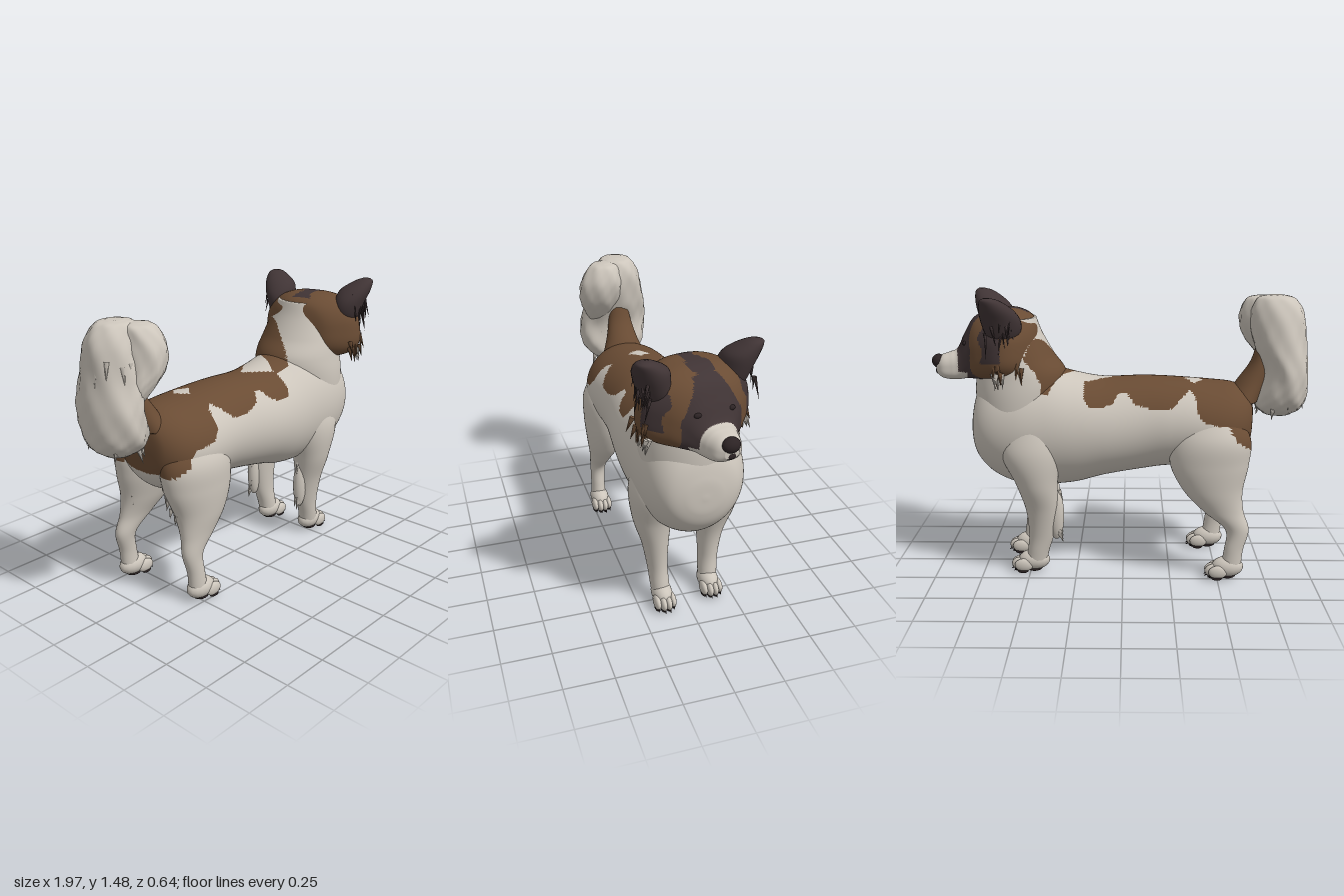
import * as THREE from 'three';

const paint = (name, color) => {
  const m = new THREE.MeshStandardMaterial({ color });
  m.name = name;
  return m;
};
const white = paint('cream fur', 0xcdc6bc);
const brown = paint('brown fur', 0x6a4c34);
const dark = paint('dark fur', 0x403435);
const black = paint('nose and pads', 0x2c2324);
const coats = [white, brown, dark];
const WHITE = 0, BROWN = 1, DARK = 2;

let seed = 7;
const rand = () => (seed = (seed * 16807) % 2147483647) / 2147483647;
const spread = (a, b) => a + (b - a) * rand();

// Skin of rounded sections [x, y, z, a, b]: vertical sections along x,
// or horizontal sections running downwards. b is always the half width in z.
// round below 1 squares the sections, pear widens their lower half.
function loft(name, stations, { along = 'x', steps = 40, sides = 32, rule = () => WHITE, shag = 0, round = 1, pear = 0 } = {}) {
  const path = new THREE.CatmullRomCurve3(stations.map(s => new THREE.Vector3(s[0], s[1], s[2])), false, 'catmullrom');
  const size = new THREE.CatmullRomCurve3(stations.map(s => new THREE.Vector3(s[3], s[4], 0)), false, 'catmullrom');
  const up = along === 'x' ? new THREE.Vector3(0, 1, 0) : new THREE.Vector3(1, 0, 0);
  const swell = v => Math.sign(v) * Math.abs(v) ** round;
  const pos = [], lists = [[], [], []];
  for (let i = -1; i <= steps + 1; i++) {
    const t = Math.min(Math.max(i / steps, 0), 1);
    const c = path.getPoint(t), r = size.getPoint(t);
    const cap = i < 0 || i > steps ? 0 : 1;
    for (let j = 0; j < sides; j++) {
      const q = j / sides * Math.PI * 2;
      const k = cap * (1 + shag * (Math.sin(q * 7 + i * 0.35) + 0.7 * Math.sin(q * 12 - i * 0.8)));
      const a = Math.max(r.x, 0.003) * k * swell(Math.cos(q));
      const b = Math.max(r.y, 0.003) * k * swell(Math.sin(q)) * (1 - pear * Math.cos(q));
      pos.push(c.x + up.x * a, c.y + up.y * a, c.z + b);
    }
  }
  const mid = (k, tri) => tri.reduce((s, v) => s + pos[v * 3 + k], 0) / 3;
  for (let i = 0; i < steps + 2; i++) {
    for (let j = 0; j < sides; j++) {
      const n = (j + 1) % sides, p = i * sides, o = p + sides;
      for (const tri of [[p + j, p + n, o + j], [p + n, o + n, o + j]]) {
        lists[rule(mid(0, tri), mid(1, tri), mid(2, tri))].push(...tri);
      }
    }
  }
  const g = new THREE.BufferGeometry();
  g.setAttribute('position', new THREE.Float32BufferAttribute(pos, 3));
  g.setIndex(lists.flat());
  let start = 0;
  lists.forEach((l, m) => {
    if (l.length) g.addGroup(start, l.length, m);
    start += l.length;
  });
  g.computeVertexNormals();
  const mesh = new THREE.Mesh(g, coats);
  mesh.name = name;
  return mesh;
}

function ball(name, mat, [x, y, z], [a, b, c]) {
  const m = new THREE.Mesh(new THREE.SphereGeometry(1, 16, 12), mat);
  m.position.set(x, y, z);
  m.scale.set(a, b, c);
  m.name = name;
  return m;
}

// Pointed lock of hair growing from a root in a direction
function lock(name, mat, root, dir, len, r) {
  const d = new THREE.Vector3(...dir).normalize();
  const m = new THREE.Mesh(new THREE.ConeGeometry(r, len, 5), mat);
  m.quaternion.setFromUnitVectors(new THREE.Vector3(0, 1, 0), d);
  m.position.set(...root).addScaledVector(d, len / 2);
  m.name = name;
  return m;
}

// Lower edge of the brown saddle, as [x, y]
const saddle = [[-0.75, 0.68], [-0.67, 0.7], [-0.58, 0.76], [-0.54, 0.83], [-0.42, 0.85], [-0.38, 0.9], [-0.37, 0.98], [-0.34, 1],
  [-0.3, 0.97], [-0.25, 0.92], [-0.15, 0.915], [-0.06, 0.94], [-0.02, 0.99], [0.02, 0.99], [0.05, 0.945], [0.1, 0.925], [0.18, 0.93], [0.2, 0.96]];
function bodyCoat(x, y, z) {
  if (x < 0.2) {
    const k = Math.max(1, saddle.findIndex(p => p[0] > x));
    const [x0, y0] = saddle[k - 1], [x1, y1] = saddle[k];
    const edge = y0 + (y1 - y0) * (x - x0) / (x1 - x0);
    const notch = x > 0.05 && Math.abs(z) < (x - 0.05) * 0.7;
    const spot = y > 0.9 && Math.abs(x + 0.37) / 0.05 + Math.abs(z + 0.02) / 0.06 < 1;
    return y > edge && !notch && !spot ? BROWN : WHITE;
  }
  const collar = Math.abs(x - 0.27 - (0.08 - z) * 0.6) < 0.06 && z > -0.21 && z < 0.12 && y > 0.95;
  return collar ? BROWN : WHITE;
}

function headCoat(x, y, z) {
  const w = Math.abs(z);
  if (x > 0.875 || (x > 0.83 && y < 1.09) || y < 1.05) return WHITE;
  if (x > 0.74 && w < Math.min(0.155, 0.065 + Math.max(0, 1.37 - y) * 0.55)) return DARK;
  if (x > 0.5 && y > 1.34 && Math.abs(z + 0.01) < 0.045 + 0.015 * Math.sin(x * 30)) return DARK;
  if (x > 0.67 && x < 0.77 + 0.015 * Math.sin(y * 30) && w > 0.18 && y > 1.15) return DARK;
  return BROWN;
}

// Rows of [x, top, bottom, half width] into vertical sections
const rows = list => list.map(([x, t, b, w]) => [x, (t + b) / 2, 0, (t - b) / 2, w]);

function paw(x, z) {
  const g = new THREE.Group();
  g.name = 'paw';
  g.add(ball('foot', white, [x, 0.065, z], [0.085, 0.055, 0.054]), ball('heel pad', black, [x, 0.018, z], [0.045, 0.017, 0.038]));
  for (let i = 0; i < 4; i++) {
    const s = i - 1.5, tx = x + 0.08 - Math.abs(s) * 0.018, tz = z + s * 0.027;
    g.add(ball('toe', white, [tx, 0.046, tz], [0.05, 0.036, 0.019]), ball('toe pad', black, [tx + 0.005, 0.014, tz], [0.03, 0.014, 0.014]),
      lock('claw', black, [tx + 0.035, 0.026, tz], [1, -0.6, 0], 0.022, 0.007));
  }
  return g;
}

function makeHead() {
  const head = new THREE.Group();
  head.name = 'head';
  head.add(loft('skull and muzzle', rows([
    [0.44, 1.28, 1.16, 0.05], [0.47, 1.36, 1.09, 0.16], [0.54, 1.4, 1.05, 0.235], [0.62, 1.405, 1.04, 0.275],
    [0.7, 1.395, 1.04, 0.265], [0.78, 1.355, 1.045, 0.195], [0.83, 1.28, 1.045, 0.135], [0.87, 1.2, 1.04, 0.1],
    [0.91, 1.18, 1.04, 0.085], [0.955, 1.165, 1.05, 0.067], [0.985, 1.135, 1.075, 0.035]]),
  { steps: 120, sides: 96, rule: headCoat, round: 0.74, pear: 0.16 }));
  head.add(ball('nose', black, [0.972, 1.135, 0], [0.036, 0.036, 0.045]), ball('lips', black, [0.965, 1.085, 0], [0.025, 0.022, 0.035]));
  for (const s of [1, -1]) {
    head.add(ball('eye', black, [0.835, 1.235, s * 0.085], [0.012, 0.013, 0.02]));
    // Semi-pricked ear leaning outwards
    head.add(loft('ear', [
      [0.725, 1.483, s * 0.28, 0.015, 0.02], [0.71, 1.467, s * 0.27, 0.05, 0.05], [0.68, 1.42, s * 0.235, 0.085, 0.082],
      [0.655, 1.36, s * 0.215, 0.1, 0.08], [0.645, 1.29, s * 0.2, 0.085, 0.07], [0.65, 1.23, s * 0.2, 0.03, 0.04]],
    { along: 'down', steps: 24, sides: 24, rule: () => DARK }));
    for (let i = 0; i < 14; i++) {
      head.add(lock('ear fringe', dark, [spread(0.6, 0.74), spread(1.3, 1.42), s * spread(0.25, 0.28)],
        [spread(-0.2, 0.2), -1, s * spread(0.05, 0.3)], spread(0.07, 0.13), 0.009));
    }
    for (let i = 0; i < 18; i++) {
      const low = i % 3 === 0;
      head.add(lock('cheek hair', low ? white : brown, [low ? spread(0.66, 0.71) : spread(0.55, 0.7), low ? 1.1 : spread(1.1, 1.18), s * spread(0.24, 0.27)],
        [spread(-0.2, 0.2), -1, s * spread(0.1, 0.4)], spread(0.05, 0.09), 0.014));
    }
  }
  // Slight turn of the head
  head.position.set(0.6, 0, 0.03);
  head.rotation.y = 0.2;
  head.children.forEach(c => { c.position.x -= 0.6; });
  return head;
}

function makeTail() {
  const tail = new THREE.Group();
  tail.name = 'tail';
  tail.add(loft('tail base', [[-0.74, 1.22, 0, 0.04, 0.05], [-0.715, 1.12, 0, 0.05, 0.065], [-0.67, 1.02, 0, 0.075, 0.09],
    [-0.62, 0.92, 0, 0.09, 0.13]], { along: 'down', rule: () => BROWN }));
  tail.add(loft('tail plume', [
    [-0.79, 1.475, 0, 0.04, 0.04], [-0.79, 1.455, 0, 0.1, 0.09], [-0.8, 1.37, 0, 0.14, 0.135], [-0.82, 1.22, 0, 0.135, 0.17],
    [-0.85, 1.08, 0.01, 0.12, 0.195], [-0.835, 0.96, 0.015, 0.135, 0.185], [-0.825, 0.89, 0.015, 0.125, 0.14], [-0.82, 0.845, 0.015, 0.07, 0.07]],
  { along: 'down', steps: 60, sides: 48, shag: 0.02 }));
  tail.add(loft('tail curl', [
    [-0.73, 1.465, 0.08, 0.03, 0.03], [-0.725, 1.445, 0.085, 0.08, 0.08], [-0.715, 1.36, 0.1, 0.1, 0.12], [-0.73, 1.26, 0.11, 0.095, 0.115],
    [-0.77, 1.18, 0.11, 0.08, 0.09], [-0.81, 1.1, 0.11, 0.04, 0.05]],
  { along: 'down', steps: 40, sides: 40, shag: 0.025 }));
  for (let i = 0; i < 60; i++) {
    const q = spread(0, 6.28), y = spread(0.88, 1.36);
    tail.add(lock('tail hair', white, [-0.83 + 0.105 * Math.cos(q), y, 0.01 + 0.13 * Math.sin(q)],
      [0.3 * Math.cos(q), -1, 0.3 * Math.sin(q)], spread(0.06, 0.09), 0.016));
  }
  return tail;
}

function makeLegs() {
  const legs = new THREE.Group();
  legs.name = 'legs';
  for (const s of [1, -1]) {
    // The right legs stand slightly further back
    const h = s > 0 ? 0 : -0.07, f = s > 0 ? 0 : -0.045;
    legs.add(loft('hind leg', [
      [-0.46, 0.9, s * 0.13, 0.11, 0.08], [-0.46, 0.76, s * 0.165, 0.2, 0.125], [-0.45, 0.62, s * 0.175, 0.205, 0.122],
      [-0.45 + h * 0.3, 0.48, s * 0.19, 0.155, 0.095], [-0.485 + h * 0.6, 0.37, s * 0.205, 0.105, 0.062], [-0.53 + h, 0.27, s * 0.213, 0.062, 0.045],
      [-0.515 + h, 0.16, s * 0.22, 0.05, 0.04], [-0.5 + h, 0.05, s * 0.22, 0.055, 0.045]],
    { along: 'down', steps: 60, sides: 40, rule: bodyCoat }));
    legs.add(loft('front leg', [
      [0.46, 0.88, s * 0.15, 0.1, 0.08], [0.48, 0.69, s * 0.17, 0.155, 0.118], [0.475 + f / 2, 0.51, s * 0.172, 0.11, 0.1],
      [0.475 + f, 0.36, s * 0.157, 0.085, 0.07], [0.48 + f, 0.22, s * 0.147, 0.068, 0.053], [0.5 + f, 0.12, s * 0.14, 0.058, 0.05],
      [0.515 + f, 0.05, s * 0.135, 0.058, 0.048]], { along: 'down', steps: 50, sides: 36 }));
    legs.add(paw(-0.485 + h, s * 0.22), paw(0.525 + f, s * 0.135));
    // Feathering behind the legs
    legs.add(ball('foreleg feather', white, [0.4 + f, 0.33, s * 0.155], [0.042, 0.14, 0.035]));
    for (let i = 0; i < 14; i++) {
      const y = 0.2 + i * 0.018;
      legs.add(lock('foreleg feathering', white, [0.385 + f, y + 0.03, s * spread(0.14, 0.17)], [-0.4, -1, 0], 0.06, 0.014));
      legs.add(lock('thigh feathering', white, [-0.585 - i * 0.003, 0.48 + i * 0.014, s * spread(0.12, 0.2)], [-0.3, -1, 0], 0.05, 0.014));
    }
  }
  legs.position.z = -0.01;
  return legs;
}

export function createModel() {
  const dog = new THREE.Group();
  dog.name = 'dog';
  dog.add(loft('torso', rows([
    [-0.685, 0.91, 0.79, 0.05], [-0.66, 0.975, 0.67, 0.16], [-0.58, 1.015, 0.59, 0.235], [-0.45, 1.03, 0.57, 0.265],
    [-0.25, 1.045, 0.57, 0.255], [-0.1, 1.05, 0.55, 0.25], [0.1, 1.045, 0.515, 0.265], [0.25, 1.07, 0.475, 0.27],
    [0.4, 1.11, 0.46, 0.27], [0.55, 1.12, 0.465, 0.265], [0.68, 1.08, 0.52, 0.235], [0.76, 0.99, 0.6, 0.18],
    [0.793, 0.88, 0.68, 0.1], [0.8, 0.785, 0.765, 0.01]]),
  { steps: 200, sides: 120, rule: bodyCoat }));
  dog.add(loft('neck', [
    [0.555, 1.36, 0, 0.1, 0.14], [0.565, 1.28, 0, 0.14, 0.18], [0.55, 1.17, 0, 0.185, 0.215], [0.535, 1.07, 0, 0.235, 0.235],
    [0.545, 0.95, 0, 0.235, 0.247], [0.57, 0.75, 0, 0.2, 0.24]], { along: 'down', steps: 70, sides: 72, rule: bodyCoat }));
  dog.add(makeHead(), makeTail(), makeLegs());
  return dog;
}
